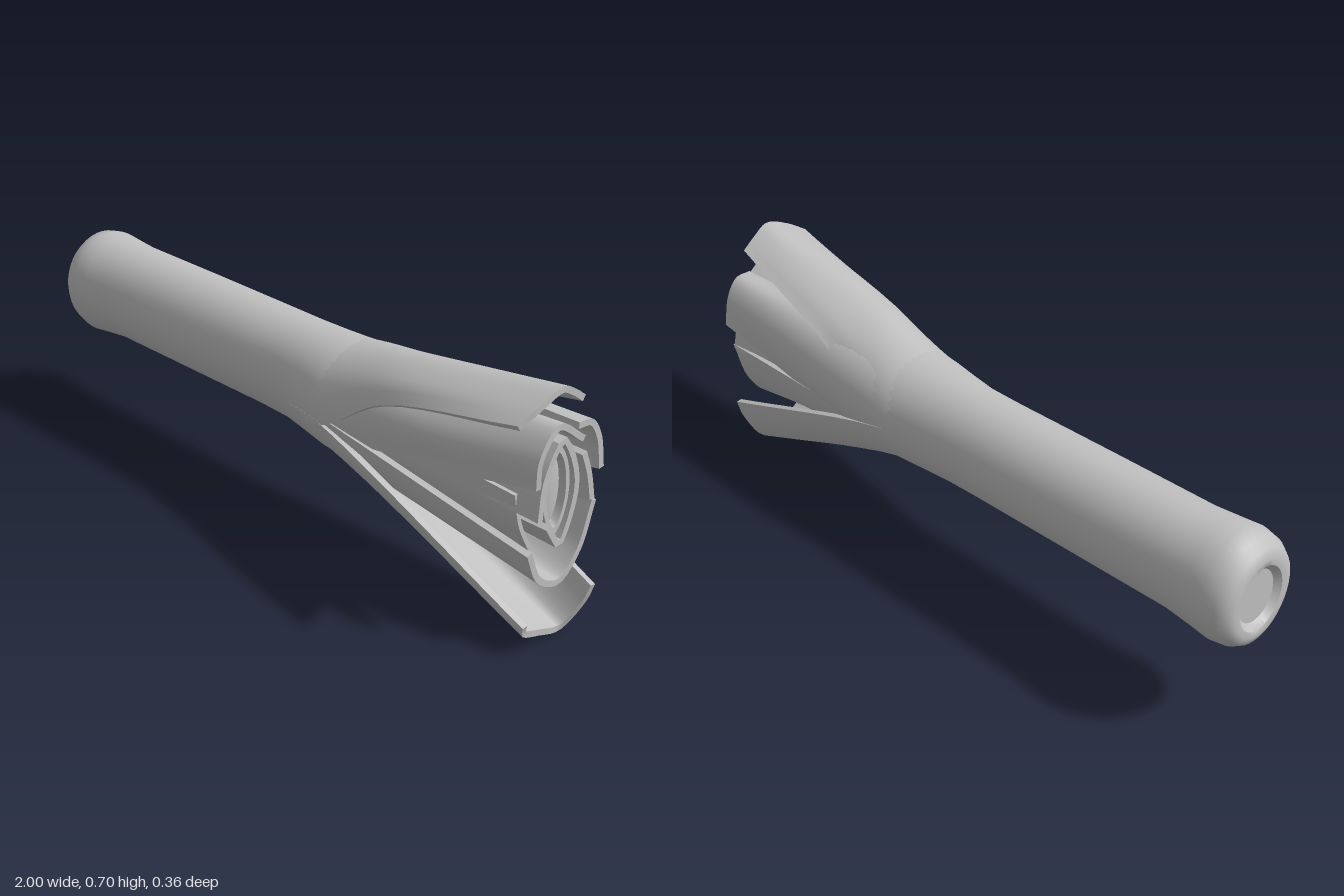
import * as THREE from 'three';
import { toCreasedNormals } from 'three/addons/utils/BufferGeometryUtils.js';

const DEG = Math.PI / 180;

// Skin a list of closed loops (each running front, top, back, bottom) along +x
function skin(rows, capPairs = 0) {
  const n = rows[0].length, idx = [];
  for (let i = 0; i < rows.length - 1; i++) {
    for (let j = 0; j < n; j++) {
      const k = (j + 1) % n, a = i * n, b = a + n;
      idx.push(a + j, b + j, a + k, b + j, b + k, a + k);
    }
  }
  // Rim of a sheet: outer point k pairs with inner point n-1-k
  const e = (rows.length - 1) * n;
  for (let k = 0; k < capPairs - 1; k++) {
    const o = e + k, p = e + k + 1, q = e + n - 1 - k, r = e + n - 2 - k;
    idx.push(o, q, p, q, r, p);
  }
  const g = new THREE.BufferGeometry();
  const pos = rows.flat().flatMap(v => [v.x, v.y, v.z]);
  g.setAttribute('position', new THREE.Float32BufferAttribute(pos, 3));
  g.setIndex(idx);
  return toCreasedNormals(g, 0.65);
}

// Oval rings [x, centreY, centreZ, radiusY, radiusZ]; point > 0 pinches them to a lens
function rings(list, point = 0, sides = 40) {
  return skin(list.map(([x, cy, cz, ry, rz]) =>
    Array.from({ length: sides }, (_, j) => {
      const a = j / sides * Math.PI * 2, c = Math.cos(a);
      return new THREE.Vector3(x, cy + ry * Math.sin(a), cz + rz * c * Math.pow(Math.abs(c), point));
    })));
}

// A leaf leaves the stalk over an arc of angles and passes through later sections of [x, y, z] points
function leafGeometry({ from, to, scale = 1, thick = 0.017, sections }) {
  const N = 20, M = 18;
  const arc = (x, s) => Array.from({ length: N }, (_, k) => {
    const a = (from + (to - from) * k / (N - 1)) * DEG;
    return new THREE.Vector3(x, 0.41 + 0.163 * s * Math.sin(a), -0.02 + 0.156 * s * Math.cos(a));
  });
  const stations = [arc(0.1, scale * 0.86), arc(0.25, scale)];
  for (const pts of sections) {
    const c = new THREE.CatmullRomCurve3(pts.map(p => new THREE.Vector3(...p)), false, 'centripetal');
    stations.push(c.getSpacedPoints(N - 1));
  }
  const lines = Array.from({ length: N }, (_, k) =>
    new THREE.CatmullRomCurve3(stations.map(s => s[k]), false, 'centripetal').getPoints(M));
  const rows = [];
  for (let i = 0; i <= M; i++) {
    const outer = lines.map(l => l[i]);
    const inner = outer.map((p, k) => {
      const a = outer[Math.max(k - 1, 0)], b = outer[Math.min(k + 1, N - 1)];
      const dy = b.y - a.y, dz = b.z - a.z, len = Math.hypot(dy, dz) || 1;
      return new THREE.Vector3(p.x, p.y + dz / len * thick, p.z - dy / len * thick);
    });
    rows.push([...outer, ...inner.reverse()]);
  }
  return skin(rows, N);
}

const LEAVES = {
  topLeaf: {
    from: -12, to: 188,
    sections: [
      [[0.5, 0.52, 0.15], [0.5, 0.575, 0.12], [0.5, 0.62, 0.03], [0.5, 0.585, -0.08], [0.5, 0.53, -0.135]],
      [[0.98, 0.635, 0.178], [0.99, 0.67, 0.12], [0.99, 0.698, 0.04], [0.98, 0.675, -0.015], [0.975, 0.645, -0.06]],
    ],
  },
  bottomLeaf: {
    from: 184, to: 350,
    sections: [
      [[1, 0.13, -0.115], [0.985, 0.08, -0.105], [0.95, 0.002, -0.055], [0.955, 0.02, 0.03], [0.965, 0.05, 0.105], [0.975, 0.08, 0.115]],
    ],
  },
  backLeaf: {
    from: 95, to: 222, scale: 0.99,
    sections: [
      [[0.97, 0.575, -0.05], [0.97, 0.57, -0.1], [0.97, 0.52, -0.135], [0.97, 0.43, -0.152]],
    ],
  },
  lowerBackLeaf: {
    from: 165, to: 235, scale: 0.95,
    sections: [
      [[0.97, 0.49, -0.085], [0.97, 0.43, -0.108], [0.97, 0.34, -0.128]],
    ],
  },
  upperInnerLeaf: {
    from: -22, to: 140, scale: 0.93,
    sections: [
      [[0.6, 0.39, 0.118], [0.6, 0.49, 0.125], [0.6, 0.575, 0.03], [0.6, 0.54, -0.08]],
      [[0.985, 0.45, 0.108], [0.99, 0.53, 0.108], [0.99, 0.604, 0.045], [0.985, 0.545, -0.058]],
    ],
  },
  lowerInnerLeaf: {
    from: 188, to: 355, scale: 0.95,
    sections: [
      [[0.975, 0.35, -0.126], [0.97, 0.22, -0.085], [0.965, 0.15, -0.02], [0.965, 0.18, 0.06], [0.97, 0.27, 0.108]],
    ],
  },
  frontInnerLeaf: {
    from: 300, to: 375, scale: 0.8, thick: 0.012,
    sections: [
      [[0.9, 0.23, 0.025], [0.9, 0.31, 0.065], [0.9, 0.4, 0.085]],
    ],
  },
  heartLeaf: {
    from: -10, to: 325, scale: 0.72,
    sections: [
      [[0.97, 0.35, 0.078], [0.97, 0.46, 0.064], [0.97, 0.553, 0], [0.97, 0.42, -0.065], [0.97, 0.255, -0.005], [0.97, 0.32, 0.045]],
    ],
  },
};

export function createModel() {
  const model = new THREE.Group();
  model.name = 'leek';
  const grey = new THREE.MeshStandardMaterial({ color: 0xc0c0c0 });
  grey.name = 'plain grey';
  const add = (name, geometry) => {
    const mesh = new THREE.Mesh(geometry, grey);
    mesh.name = name;
    model.add(mesh);
  };

  // Stalk with a rounded base and a dished root disc, closing inside the leaves
  add('stalk', rings([
    [-0.982, 0.415, -0.04, 0, 0],
    [-0.982, 0.415, -0.04, 0.075, 0.065],
    [-0.998, 0.415, -0.04, 0.092, 0.08],
    [-1, 0.415, -0.04, 0.11, 0.098],
    [-0.99, 0.418, -0.04, 0.135, 0.12],
    [-0.965, 0.42, -0.04, 0.152, 0.135],
    [-0.92, 0.42, -0.038, 0.16, 0.143],
    [-0.87, 0.421, -0.038, 0.155, 0.138],
    [-0.78, 0.422, -0.038, 0.147, 0.131],
    [-0.45, 0.42, -0.037, 0.147, 0.13],
    [-0.1, 0.417, -0.036, 0.146, 0.129],
    [0.02, 0.415, -0.034, 0.147, 0.131],
    [0.12, 0.412, -0.027, 0.153, 0.142],
    [0.2, 0.41, -0.021, 0.159, 0.151],
    [0.25, 0.41, -0.02, 0.162, 0.155],
    [0.27, 0.41, -0.02, 0.135, 0.13],
    [0.6, 0.41, -0.01, 0, 0],
  ]));

  // Pointed-oval heart in the middle of the leaves
  add('heart', rings([
    [0.3, 0.41, -0.01, 0.1, 0.09],
    [0.92, 0.407, 0, 0.125, 0.05],
    [0.955, 0.407, 0, 0.118, 0.046],
    [0.955, 0.407, 0, 0.1, 0.034],
    [0.935, 0.407, 0, 0.092, 0.03],
    [0.945, 0.407, 0, 0, 0],
  ], 0.35));

  for (const [name, spec] of Object.entries(LEAVES)) add(name, leafGeometry(spec));
  return model;
}
